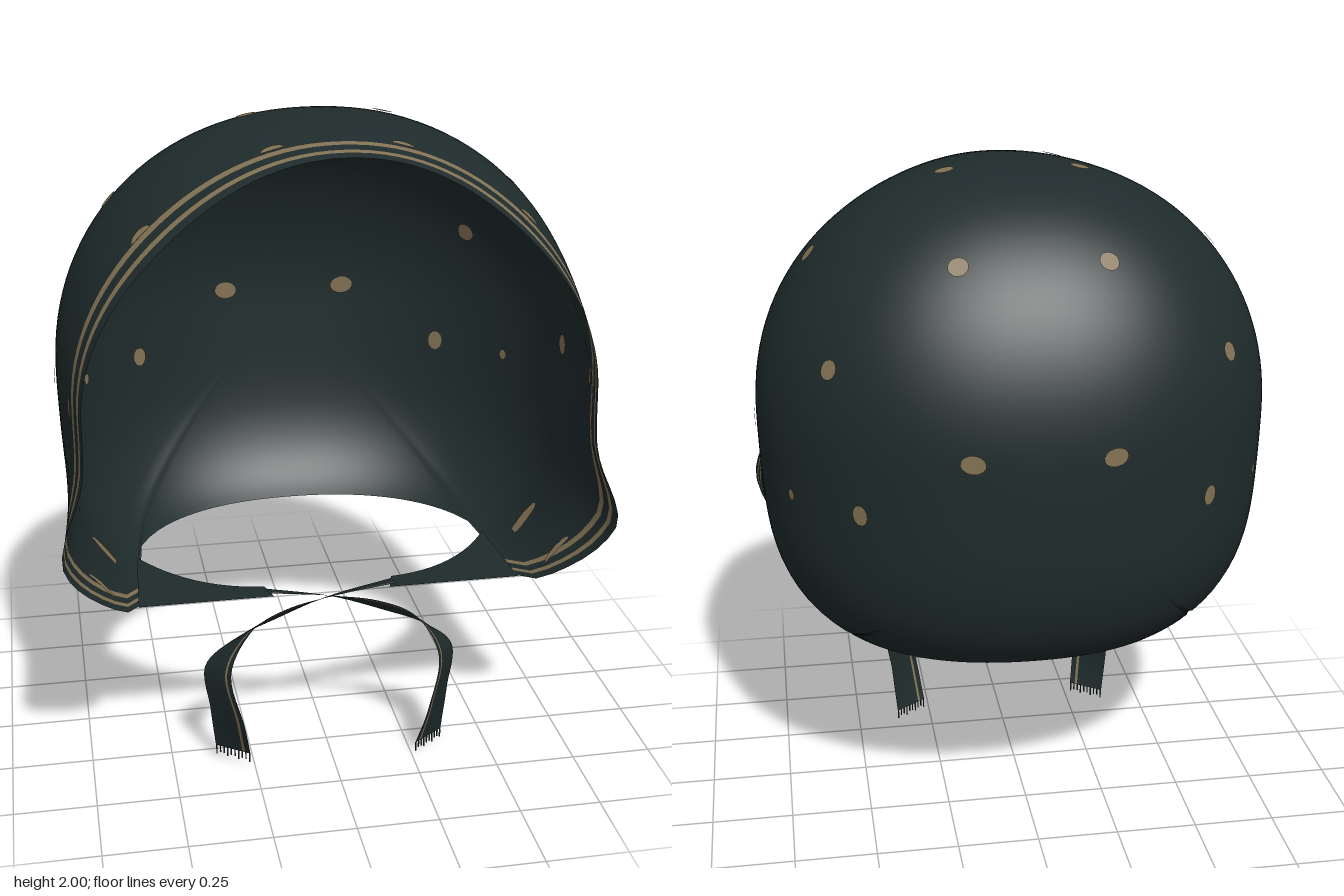
import * as THREE from 'three';
import { mergeVertices, mergeGeometries } from 'three/addons/utils/BufferGeometryUtils.js';

const smooth = THREE.MathUtils.smoothstep, lerp = THREE.MathUtils.lerp;
const BOTTOM = 0.57, MID = 1.25, ZC = 0.1;

const cloth = new THREE.MeshStandardMaterial({ color: 0x1f2b2c, side: THREE.DoubleSide });
cloth.name = 'dark green cloth';
const tan = new THREE.MeshStandardMaterial({ color: 0x837254, side: THREE.DoubleSide });
tan.name = 'tan print';

// Rounded back of the hood: oval in plan, with a fuller curve towards the neck
function dome(theta, phi) {
  const x = Math.cos(theta) * Math.sin(phi), y = Math.sin(theta) * Math.sin(phi), z = -Math.cos(phi);
  const n = 2.1 + 1.2 * smooth(-y, -0.1, 0.5);
  const plan = (Math.abs(x) ** 2.2 + Math.abs(z) ** 2.2) ** (1 / 2.2);
  const k = (plan ** n + Math.abs(y) ** n) ** (-1 / n);
  return new THREE.Vector3(0.79 * k * x, MID + (y > 0 ? 0.75 : 0.78) * k * y, ZC + 0.68 * k * z);
}

// Finds where a falling function reaches the bottom edge
function solve(f, lo, hi) {
  for (let i = 0; i < 40; i++) {
    const m = (lo + hi) / 2;
    if (f(m) > BOTTOM) lo = m; else hi = m;
  }
  return (lo + hi) / 2;
}

// Depth of the face opening at each height
const rimPoints = [[0.57, 0.32], [0.59, 0.4], [0.64, 0.46], [0.72, 0.52], [0.85, 0.58], [1.0, 0.553], [1.4, 0.532], [2.01, 0.515]];
function rimZ(y) {
  for (let i = 1; i < rimPoints.length; i++) {
    const [y0, z0] = rimPoints[i - 1], [y1, z1] = rimPoints[i];
    if (y <= y1) return lerp(z0, z1, Math.max(0, (y - y0) / (y1 - y0)));
  }
  return 0.515;
}

// Straight front part, drawn in round the face and flared at the cheeks
function forward(base, z, rim) {
  const f = ((z - ZC) / (rim - ZC)) ** 1.7, y = base.y;
  const up = Math.max(0, y - MID) / 0.75, out = base.x / 0.79;
  const pull = f * (0.07 + 0.2 * (up * out) ** 2);
  const flare = 0.065 * f * Math.exp(-(((y - 0.85) / 0.17) ** 2));
  return new THREE.Vector3(
    base.x * (1 - pull * smooth(y, 0.7, 1.1)) + Math.sign(base.x) * flare,
    y > MID ? MID + (y - MID) * (1 - pull) : y, z);
}

function shellGeometry() {
  const corner = -solve(a => dome(-a, Math.PI / 2).y, 0, Math.PI / 2);
  const UP = 96, LOW = 48, N = UP + LOW, DOME = 32, FRONT = 8;
  const stripes = [0.115, 0.09, 0.055, 0.035, 0];
  const rows = DOME + FRONT + stripes.length;
  const pos = [], index = [];
  for (let j = 0; j <= rows; j++) {
    for (let i = 0; i < N; i++) {
      const upper = i <= UP;
      const theta = upper ? lerp(corner, Math.PI - corner, i / UP)
        : lerp(Math.PI - corner, 2 * Math.PI + corner, (i - UP) / LOW);
      const end = upper ? Math.PI / 2 : solve(p => dome(theta, p).y, 0, Math.PI / 2);
      let p = dome(theta, end * Math.min(j / DOME, 1));
      if (upper && j > DOME) {
        const rim = rimZ(p.y), k = j - DOME;
        const z = k <= FRONT ? lerp(ZC, rim - 0.135, k / FRONT) : rim - stripes[k - FRONT - 1];
        p = forward(p, z, rim);
      }
      pos.push(p.x, p.y, p.z);
    }
  }
  const g = new THREE.BufferGeometry();
  for (let j = 0; j < rows; j++) {
    const fromFront = rows - j;
    g.addGroup(index.length, N * 6, fromFront === 2 || fromFront === 4 ? 1 : 0);
    for (let i = 0; i < N; i++) {
      const a = j * N + i, b = j * N + (i + 1) % N, c = a + N, d = b + N;
      index.push(a, c, b, b, c, d);
    }
  }
  g.setAttribute('position', new THREE.Float32BufferAttribute(pos, 3));
  g.setIndex(index);
  const merged = mergeVertices(g, 1e-5);
  merged.computeVertexNormals();
  return merged;
}

// Printed dots: thin discs laid on both faces of the cloth
function dotsGeometry(shell) {
  const P = shell.attributes.position, Nn = shell.attributes.normal, discs = [];
  // x, y, z, half width round the arch, half width front to back
  const whole = [
    [0.21, 1.78, -0.36, 0.03, 0.03], [0.57, 1.5, -0.34, 0.03, 0.027], [0.6, 1.74, 0.03, 0.03, 0.029],
    [0.2, 1.97, 0.03, 0.029, 0.027], [0.2, 1.28, -0.56, 0.028, 0.037], [0.5, 1.1, -0.43, 0.032, 0.024],
    [0.79, 1.235, 0.07, 0.033, 0.028], [0.66, 0.67, 0.11, 0.065, 0.024], [0.69, 1.1, -0.25, 0.018, 0.014]];
  // half dots that sit against the inner stripe
  const half = [[0.18, 1.945, 0.4, 0.034, 0.028], [0.53, 1.72, 0.408, 0.036, 0.03],
    [0.74, 1.25, 0.424, 0.038, 0.03], [0.68, 0.69, 0.385, 0.055, 0.025]];
  const v = new THREE.Vector3(), n = new THREE.Vector3();
  const lay = ([x, y, z, w, h], arc) => {
    for (const side of [1, -1]) {
      const target = new THREE.Vector3(x * side, y, z);
      let best = 0, bestD = 9;
      for (let i = 0; i < P.count; i++) {
        const d = v.fromBufferAttribute(P, i).distanceToSquared(target);
        if (d < bestD) { bestD = d; best = i; }
      }
      v.fromBufferAttribute(P, best);
      n.fromBufferAttribute(Nn, best).normalize();
      target.addScaledVector(n, -target.clone().sub(v).dot(n));
      for (const face of [1, -1]) {
        const dir = n.clone().multiplyScalar(face);
        const back = new THREE.Vector3(0, 0, -1).projectOnPlane(dir).normalize();
        const around = back.clone().cross(dir);
        const place = new THREE.Matrix4().makeBasis(around, back, dir);
        place.setPosition(target.clone().addScaledVector(dir, 0.005));
        discs.push(new THREE.CircleGeometry(1, 14, 0, arc).scale(w, h, 1).applyMatrix4(place));
      }
    }
  };
  whole.forEach(s => lay(s, Math.PI * 2));
  half.forEach(s => lay(s, Math.PI));
  return mergeGeometries(discs);
}

// Tie ribbon: a twisting strip with one thin printed line
function ribbonGeometry(side, drop) {
  const path = [[0.2, 0.58, 0.31], [0, 0.555, 0.33], [-0.15, 0.515, 0.34], [-0.28, 0.455, 0.35],
    [-0.358, 0.35, 0.36], [-0.335, 0.19, 0.375], [-0.315, 0.05 - drop, 0.342]];
  const half = [[0, 0.012, 0.04], [0, 0.02, 0.04], [0.008, 0.032, 0.035], [0.025, 0.038, 0.045],
    [0.034, 0.01, 0.05], [0.045, 0, 0.06], [0.05, 0, 0.035]];
  const curve = list => new THREE.CatmullRomCurve3(list.map(p => new THREE.Vector3(p[0] * side, p[1], p[2])));
  const mid = curve(path), wide = curve(half), across = [-1, 0.55, 0.7, 1], STEPS = 40;
  const pos = [], index = [], g = new THREE.BufferGeometry();
  for (let i = 0; i <= STEPS; i++) {
    const c = mid.getPoint(i / STEPS), w = wide.getPoint(i / STEPS);
    for (const k of across) pos.push(c.x + w.x * k, c.y + w.y * k, c.z + w.z * k);
  }
  for (let k = 0; k < 3; k++) {
    g.addGroup(index.length, STEPS * 6, k === 1 ? 1 : 0);
    for (let i = 0; i < STEPS; i++) {
      const a = i * 4 + k;
      index.push(a, a + 4, a + 1, a + 1, a + 4, a + 5);
    }
  }
  g.setAttribute('position', new THREE.Float32BufferAttribute(pos, 3));
  g.setIndex(index);
  g.computeVertexNormals();
  return g;
}

// Frayed threads at the ribbon's end
function fringeGeometry(side, drop) {
  const threads = [];
  for (let i = 0; i < 10; i++) {
    const k = lerp(-0.95, 0.95, i / 9), len = 0.022 + 0.008 * (i % 3 === 0);
    threads.push(new THREE.BoxGeometry(0.004, len, 0.004)
      .translate(side * (-0.315 + 0.05 * k), 0.05 - drop - len / 2, 0.342 + 0.035 * k));
  }
  return mergeGeometries(threads);
}

export function createModel() {
  const model = new THREE.Group();
  model.name = 'bonnet';
  const add = (name, geometry, material) => {
    const mesh = new THREE.Mesh(geometry, material);
    mesh.name = name;
    model.add(mesh);
  };
  const shell = shellGeometry();
  add('hood', shell, [cloth, tan]);
  add('dots', dotsGeometry(shell), tan);

  for (const [side, name, drop] of [[1, 'left', 0], [-1, 'right', 0.02]]) {
    // Chin flap leading from the cheek to the tie
    const flap = new THREE.Shape();
    flap.moveTo(side * 0.59, 0.34);
    flap.lineTo(side * 0.18, 0.34);
    flap.lineTo(side * 0.2, 0.27);
    flap.quadraticCurveTo(side * 0.42, 0.25, side * 0.57, 0);
    add(name + 'ChinFlap', new THREE.ShapeGeometry(flap).rotateX(Math.PI / 2).translate(0, 0.575, 0), cloth);
    add(name + 'Ribbon', ribbonGeometry(side, drop), [cloth, tan]);
    add(name + 'Fringe', fringeGeometry(side, drop), cloth);
  }
  return model;
}
